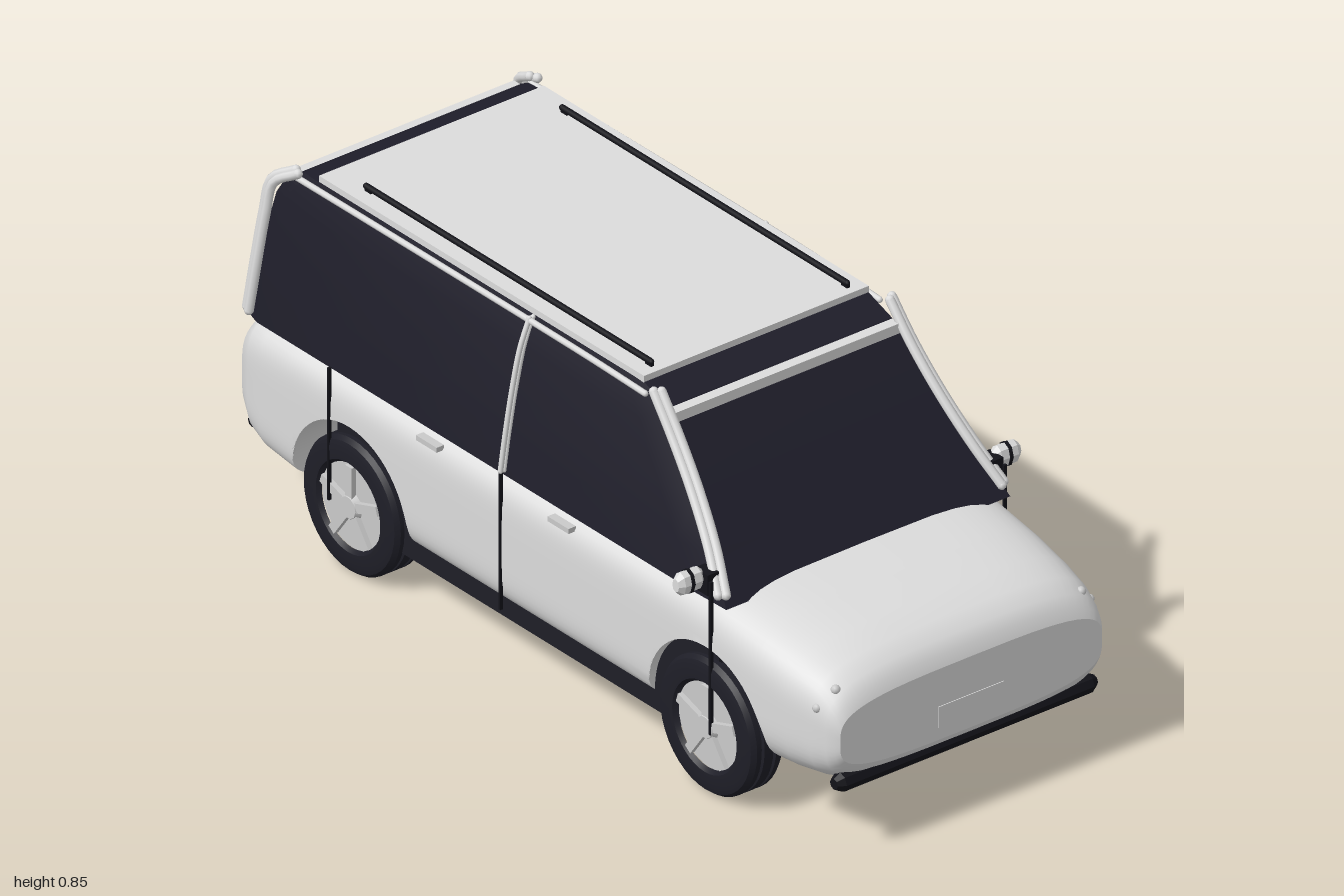
import * as THREE from 'three';
import { mergeGeometries, toCreasedNormals } from 'three/addons/utils/BufferGeometryUtils.js';

const mat = (name, color) => {
  const m = new THREE.MeshStandardMaterial({ color });
  m.name = name;
  return m;
};

// Skin a list of closed rings (counter-clockwise seen from the first end), with flat sharp-edged caps.
function loft(rings, crease) {
  const n = rings[0].length, pos = rings.flat(2), skin = [], caps = [];
  for (let i = 0; i < rings.length - 1; i++) {
    for (let j = 0; j < n; j++) {
      const a = i * n + j, b = i * n + (j + 1) % n;
      skin.push(a, a + n, b, b, a + n, b + n);
    }
  }
  [0, rings.length - 1].forEach((r, end) => {
    const c = pos.length / 3;
    for (let k = 0; k < 3; k++) pos.push(rings[r].reduce((s, p) => s + p[k], 0) / n);
    for (let j = 0; j < n; j++) {
      const a = r * n + j, b = r * n + (j + 1) % n;
      caps.push(c, end ? b : a, end ? a : b);
    }
  });
  return mergeGeometries([skin, caps].map(idx => {
    const g = new THREE.BufferGeometry();
    g.setAttribute('position', new THREE.Float32BufferAttribute(pos, 3));
    g.setIndex(idx);
    return toCreasedNormals(g, crease);
  }));
}

// Round bar through points, with rounded ends.
function bar(points, r) {
  const pts = points.map(p => new THREE.Vector3(...p));
  const parts = [new THREE.TubeGeometry(new THREE.CatmullRomCurve3(pts), 20, r, 8)];
  for (const p of [pts[0], pts[pts.length - 1]]) {
    parts.push(new THREE.SphereGeometry(r, 8, 6).translate(p.x, p.y, p.z));
  }
  return mergeGeometries(parts);
}

const WHEEL_Y = 0.16, WHEEL_Z = [0.6, -0.595], ARCH_R = 0.195;

// Body stations: z, half width, bottom, top, squareness
const STATIONS = [
  [1, 0.354, 0.195, 0.367, 3.5], [0.99, 0.362, 0.172, 0.393, 3.5], [0.97, 0.37, 0.15, 0.417, 3.6],
  [0.93, 0.379, 0.136, 0.438, 3.8], [0.86, 0.389, 0.128, 0.453, 4], [0.76, 0.395, 0.125, 0.468, 4.4],
  [0.62, 0.397, 0.123, 0.484, 5], [0.45, 0.397, 0.123, 0.474, 6], [-0.8, 0.397, 0.123, 0.472, 6],
  [-0.9, 0.393, 0.128, 0.47, 5.5], [-0.95, 0.385, 0.14, 0.465, 5], [-0.985, 0.371, 0.168, 0.446, 4.2],
  [-1, 0.354, 0.2, 0.42, 3.8],
];

function station(z) {
  let i = 0;
  while (i < STATIONS.length - 2 && z < STATIONS[i + 1][0]) i++;
  const a = STATIONS[i], b = STATIONS[i + 1], t = (a[0] - z) / (a[0] - b[0]);
  return a.map((v, k) => v + (b[k] - v) * t);
}

function bodyGeometry() {
  const zs = STATIONS.map(s => s[0]);
  for (let i = 1; i < 12; i++) zs.push(0.38 - i * 0.063);
  for (const c of WHEEL_Z) {
    for (const s of [-1, 1]) zs.push(c + s * (ARCH_R + 0.0005), c + s * (ARCH_R - 0.0005));
    for (let i = 1; i < 28; i++) zs.push(c + ARCH_R * Math.cos(i / 28 * Math.PI));
  }
  zs.sort((a, b) => b - a);
  const N = 32;
  const rings = zs.map(z => {
    const [, w, lo, hi, n] = station(z);
    let floor = -1; // wheel arches lift the underside
    for (const c of WHEEL_Z) {
      const d = Math.abs(z - c);
      if (d < ARCH_R) floor = WHEEL_Y + Math.sqrt(ARCH_R ** 2 - d * d);
    }
    const side = [];
    for (let j = 0; j <= N; j++) {
      const t = Math.sin((j / N - 0.5) * Math.PI);
      const x = w * Math.pow(Math.max(0, 1 - Math.abs(t) ** n), 1 / n);
      side.push([Math.max(x, 0.0005), Math.max((lo + hi) / 2 + t * (hi - lo) / 2, floor), z]);
    }
    return [...side, ...side.map(([x, y, q]) => [-x, y, q]).reverse()];
  });
  return loft(rings, 0.65);
}

// Cabin levels: y, front z, rear z, front / side / rear half widths
const CABIN = [
  [0.82, 0.28, -0.86, 0.303, 0.306, 0.303], [0.792, 0.355, -0.908, 0.305, 0.32, 0.312],
  [0.75, 0.4, -0.93, 0.311, 0.334, 0.322], [0.65, 0.49, -0.944, 0.33, 0.357, 0.343],
  [0.55, 0.578, -0.95, 0.357, 0.375, 0.362], [0.463, 0.655, -0.955, 0.384, 0.388, 0.376],
];

function cabinGeometry() {
  return loft(CABIN.map(([y, zf, zr, wf, ws, wr]) => {
    const s = [[wf, y, zf], [ws, y, zf - 0.1], [ws, y, zr + 0.04], [wr, y, zr]];
    return [...s, ...s.map(([x, h, z]) => [-x, h, z]).reverse()];
  }), 0.35);
}

export function createModel() {
  const car = new THREE.Group();
  car.name = 'car';
  const paint = mat('paint', 0xdcdcdc), glass = mat('glass', 0x1e1d29);
  const rubber = mat('rubber', 0x1e1e27), trim = mat('trim', 0x131319), metal = mat('metal', 0xcacaca);

  const add = (name, geo, m, x = 0, y = 0, z = 0, parent = car) => {
    const mesh = new THREE.Mesh(geo, m);
    mesh.name = name;
    mesh.position.set(x, y, z);
    parent.add(mesh);
    return mesh;
  };
  const box = (w, h, d) => new THREE.BoxGeometry(w, h, d);

  add('body', bodyGeometry(), paint);
  add('cabinGlass', cabinGeometry(), glass);
  add('underfloor', box(0.75, 0.3, 1.28), rubber, 0, 0.258, -0.02);

  // Roof panel and cross bars
  add('roofPanel', box(0.608, 0.02, 1.09), paint, 0, 0.825, -0.265);
  add('windscreenHeader', box(0.61, 0.026, 0.036), paint, 0, 0.777, 0.365);
  add('rearHeader', box(0.61, 0.02, 0.024), paint, 0, 0.792, -0.9);

  // Bumpers and number plates
  for (const s of [1, -1]) {
    const end = s > 0 ? 'front' : 'rear';
    const profile = [[0, -0.352], [0.013, -0.352], [0.023, -0.335], [0.023, 0.335], [0.013, 0.352], [0, 0.352]];
    const bumper = new THREE.LatheGeometry(profile.map(p => new THREE.Vector2(...p)), 8).rotateZ(-Math.PI / 2);
    add(end + 'Bumper', toCreasedNormals(bumper, 0.4), trim, 0, s > 0 ? 0.172 : 0.182, s * 0.976);
    add(end + 'Plate', box(0.176, 0.052, 0.006), paint, 0, s > 0 ? 0.25 : 0.335, s * 0.999);
  }

  // Parts mirrored left and right
  for (const s of [1, -1]) {
    const sidePart = new THREE.Group();
    sidePart.name = s > 0 ? 'leftSide' : 'rightSide';
    car.add(sidePart);
    const put = (name, geo, m, x = 0, y = 0, z = 0) => add(name, geo, m, s * x, y, z, sidePart);
    const putBar = (name, pts, r, m) => put(name, bar(pts.map(([x, y, z]) => [s * x, y, z]), r), m);
    // Pillar of two strips side by side
    const putPillar = (name, pts, r, dx, dz) => {
      putBar(name + 'Inner', pts, r, paint);
      putBar(name + 'Outer', pts.map(([x, y, z]) => [x + dx, y, z + dz]), r, paint);
    };

    putPillar('frontPillar', [[0.373, 0.488, 0.64], [0.347, 0.565, 0.575], [0.325, 0.66, 0.49], [0.313, 0.75, 0.41], [0.309, 0.828, 0.345]], 0.011, 0.013, -0.01);
    putPillar('middlePillar', [[0.388, 0.475, -0.085], [0.375, 0.56, -0.085], [0.357, 0.66, -0.085], [0.335, 0.755, -0.085], [0.31, 0.818, -0.085]], 0.006, 0.01, 0);
    putPillar('rearPillar', [[0.316, 0.826, -0.872], [0.334, 0.785, -0.932], [0.346, 0.71, -0.943], [0.363, 0.6, -0.95], [0.379, 0.48, -0.958]], 0.011, 0.008, 0.016);
    putBar('roofEdge', [[0.317, 0.806, 0.3], [0.319, 0.812, 0.1], [0.319, 0.812, -0.6], [0.318, 0.81, -0.87]], 0.007, paint);
    putBar('roofRail', [[0.265, 0.845, 0.255], [0.265, 0.845, -0.7]], 0.007, trim);

    for (const z of [0.25, -0.69]) put('railFoot', box(0.008, 0.02, 0.02), trim, 0.265, 0.836, z);
    for (const [z, lo, hi] of [[0.62, 0.15, 0.52], [-0.085, 0.14, 0.47], [-0.66, 0.15, 0.47]]) {
      put('doorSeam', box(0.008, hi - lo, 0.006), trim, 0.397, (lo + hi) / 2, z);
    }
    for (const z of [0.112, -0.33]) put('doorHandle', box(0.02, 0.012, 0.07), metal, 0.391, 0.433, z);
    put('headlampBead', new THREE.SphereGeometry(0.011, 10, 8), metal, 0.332, 0.386, 0.957);
    put('sideBead', new THREE.SphereGeometry(0.011, 10, 8), metal, 0.368, 0.347, 0.94);

    // Door mirror: two chamfered halves around a dark band
    const mirror = [[0, -0.035], [0.016, -0.035], [0.028, -0.022], [0.028, 0.022], [0.016, 0.035], [0, 0.035]];
    const shell = new THREE.LatheGeometry(mirror.map(p => new THREE.Vector2(...p)), 8).rotateZ(-Math.PI / 2).scale(1, 1, 0.7);
    put('mirror', toCreasedNormals(shell, 0.3), paint, 0.428, 0.518, 0.583);
    put('mirrorBand', new THREE.CylinderGeometry(0.03, 0.03, 0.008, 8).rotateZ(Math.PI / 2).scale(1, 1, 0.73), trim, 0.43, 0.518, 0.583);
    put('mirrorFoot', box(0.03, 0.05, 0.045), trim, 0.385, 0.508, 0.59);

    // Wheels, outer face toward local +x
    WHEEL_Z.forEach((z, i) => {
      const wheel = new THREE.Group();
      wheel.name = i ? 'rearWheel' : 'frontWheel';
      wheel.position.set(s * 0.353, WHEEL_Y, z);
      if (s < 0) wheel.rotation.y = Math.PI;
      sidePart.add(wheel);
      const half = [[0.1, 0.036], [0.108, 0.046], [0.138, 0.047], [0.152, 0.043], [0.16, 0.032], [0.16, 0.02], [0.153, 0.018], [0.153, 0.014], [0.16, 0.012]];
      const profile = [...half.map(([r, y]) => [r, -y]), ...half.slice().reverse()];
      const tyre = new THREE.LatheGeometry(profile.map(p => new THREE.Vector2(...p)), 40).rotateZ(-Math.PI / 2);
      add('tyre', toCreasedNormals(tyre, 0.6), rubber, 0, 0, 0, wheel);
      add('rimDisc', new THREE.CylinderGeometry(0.102, 0.102, 0.066, 32).rotateZ(Math.PI / 2), metal, 0, 0, 0, wheel);
      add('hub', new THREE.CylinderGeometry(0.026, 0.034, 0.016, 10).rotateZ(-Math.PI / 2), metal, 0.039, 0, 0, wheel);
      for (let k = 0; k < 5; k++) {
        const a = k / 5 * Math.PI * 2;
        add('spoke', box(0.014, 0.085, 0.022).translate(0, 0.056, 0).rotateX(a), metal, 0.038, 0, 0, wheel);
      }
    });
  }
  return car;
}
